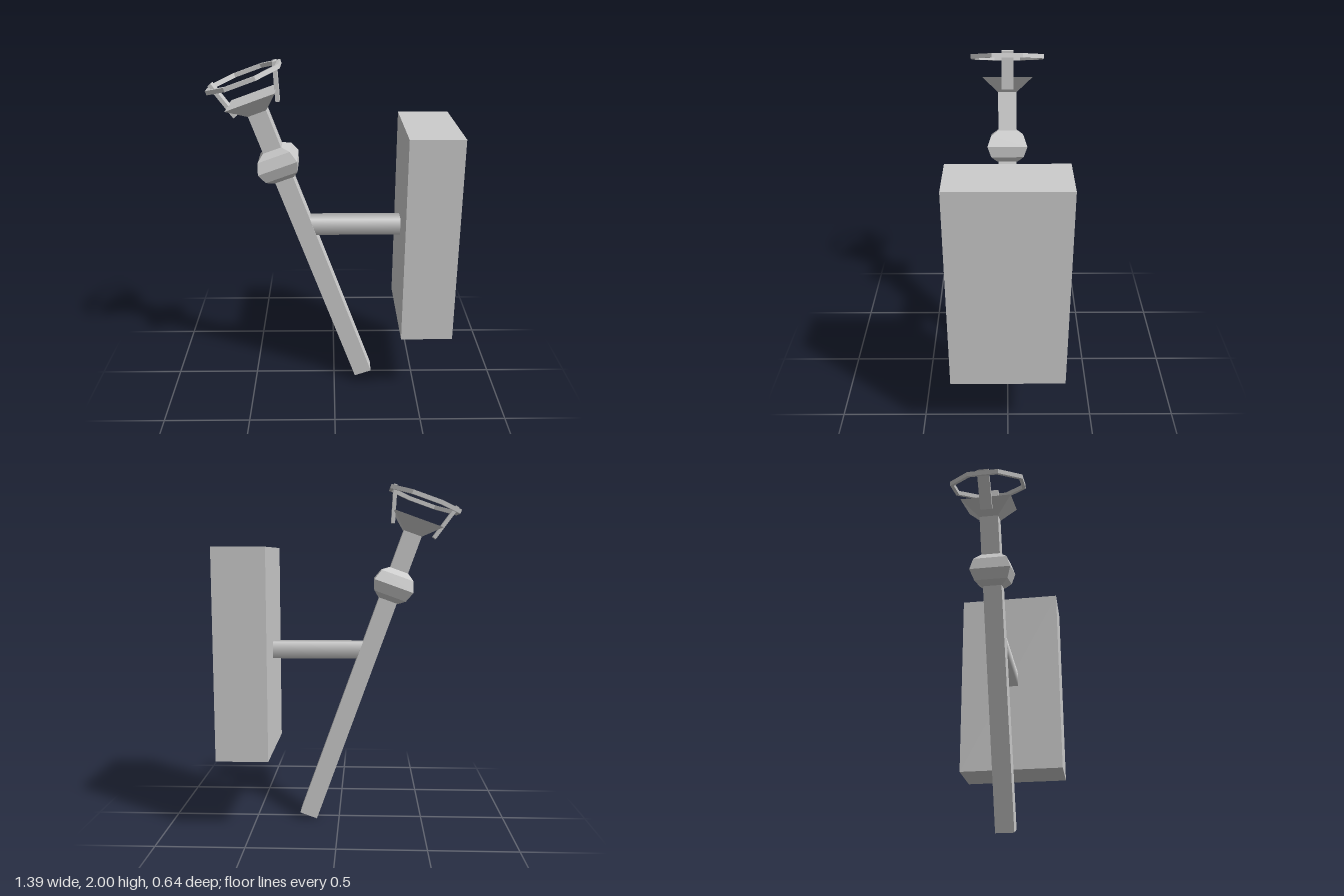
import * as THREE from 'three';

const flat = new THREE.MeshStandardMaterial({ color: 0xcccccc, flatShading: true });
const smooth = new THREE.MeshStandardMaterial({ color: 0xcccccc });

function add(parent, name, geometry, material = flat) {
  const mesh = new THREE.Mesh(geometry, material);
  mesh.name = name;
  parent.add(mesh);
  return mesh;
}

// Closed square-section solid from [half width, height] pairs, bottom to top
function squareStack(rings) {
  const pts = rings.map(([w, y]) => new THREE.Vector2(w * Math.SQRT2, y));
  pts.unshift(new THREE.Vector2(0, rings[0][1]));
  pts.push(new THREE.Vector2(0, rings[rings.length - 1][1]));
  return new THREE.LatheGeometry(pts, 4, Math.PI / 4);
}

// Octagon outline with flat sides on the axes
function octagon(apothem, path) {
  const r = apothem / Math.cos(Math.PI / 8);
  const pts = [];
  for (let i = 0; i < 8; i++) {
    const a = Math.PI / 8 + (i * Math.PI) / 4;
    pts.push(new THREE.Vector2(r * Math.cos(a), r * Math.sin(a)));
  }
  return path.setFromPoints(pts);
}

export function createModel() {
  const model = new THREE.Group();
  model.name = 'wallTorch';

  // Wall block
  add(model, 'wallBlock', new THREE.BoxGeometry(0.3, 1.205, 0.64)).position.set(0.54, 1.037, 0);

  // Horizontal bracket, four-sided with softened shading
  const bar = new THREE.CylinderGeometry(Math.SQRT1_2, Math.SQRT1_2, 1, 4);
  bar.rotateY(Math.PI / 4).rotateZ(Math.PI / 2).scale(0.58, 0.097, 0.102);
  add(model, 'bracket', bar, smooth).position.set(0.11, 1.038, 0);

  // Leaning torch, built upright in its own frame
  const torch = new THREE.Group();
  torch.name = 'torch';
  torch.position.set(0.185, 0.02, 0);
  torch.rotation.z = 0.345;
  model.add(torch);

  add(torch, 'shaft', squareStack([[0.054, 0], [0.054, 1.807]]));
  add(torch, 'collar', squareStack([
    [0.06, 1.395], [0.096, 1.425], [0.118, 1.487], [0.096, 1.55], [0.056, 1.58],
  ]));
  add(torch, 'cup', squareStack([[0.055, 1.804], [0.145, 1.889]]));

  // Octagonal ring
  const ringShape = octagon(0.212, new THREE.Shape());
  ringShape.holes.push(octagon(0.192, new THREE.Path()));
  const ring = new THREE.ExtrudeGeometry(ringShape, { depth: 0.024, bevelEnabled: false });
  ring.rotateX(-Math.PI / 2);
  add(torch, 'ring', ring).position.y = 1.995;

  // Prongs joining the cup to the ring
  for (const side of [-1, 1]) {
    const prong = add(torch, 'prong', new THREE.BoxGeometry(0.022, 0.22, 0.068));
    prong.position.set(side * 0.158, 1.928, 0);
    prong.rotation.z = -side * 0.29;
  }
  return model;
}
